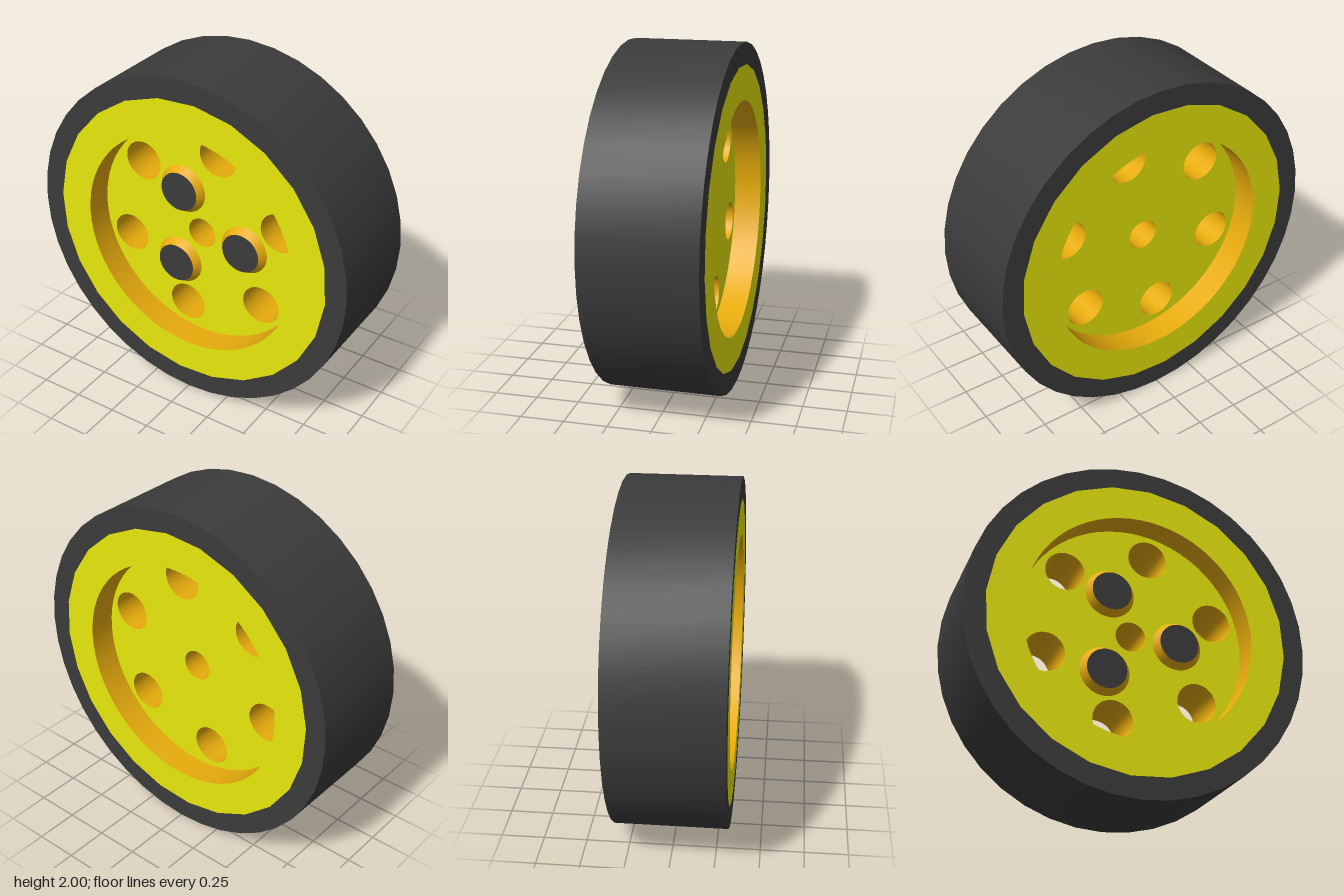
import * as THREE from 'three';
import { toCreasedNormals } from 'three/addons/utils/BufferGeometryUtils.js';

const HALF_WIDTH = 0.32, FLOOR = 0.16;
const black = new THREE.MeshStandardMaterial({ color: 0x3b3b3b });
const yellow = new THREE.MeshStandardMaterial({ color: 0xe8e80c });
const orange = new THREE.MeshStandardMaterial({ color: 0xe8ac0c });

// Points of a regular polygon
function ring(radius, sides, startDeg = 0, cx = 0, cy = 0) {
  return Array.from({ length: sides }, (_, i) => {
    const a = THREE.MathUtils.degToRad(startDeg) + (i / sides) * Math.PI * 2;
    return new THREE.Vector2(cx + radius * Math.cos(a), cy + radius * Math.sin(a));
  });
}

// Plate centred on z = 0, with holes cut through
function plate(name, outline, holes, halfDepth, materials) {
  const shape = new THREE.Shape(outline);
  holes.forEach((h) => shape.holes.push(new THREE.Path(h)));
  const geometry = new THREE.ExtrudeGeometry(shape, { depth: halfDepth * 2, bevelEnabled: false });
  geometry.translate(0, 0, -halfDepth);
  const mesh = new THREE.Mesh(toCreasedNormals(geometry, 0.5), materials);
  mesh.name = name;
  return mesh;
}

function polar(radius, deg) {
  const a = THREE.MathUtils.degToRad(deg);
  return [radius * Math.cos(a), radius * Math.sin(a)];
}

export function createModel() {
  const wheel = new THREE.Group();
  wheel.name = 'wheel';
  wheel.position.y = 1;

  // Tyre, with a faceted inner edge meeting the rim
  const seat = ring(0.878, 24, -4);
  wheel.add(plate('tyre', ring(1, 40), [seat], HALF_WIDTH, black));

  // Rim
  wheel.add(plate('rim', seat, [ring(0.675, 64)], HALF_WIDTH, [yellow, orange]));

  // Recessed web with axle hole and six round holes
  const holes = [ring(0.09, 40)];
  for (let i = 0; i < 6; i++) holes.push(ring(0.117, 40, 0, ...polar(0.526, 18.5 + i * 60)));
  wheel.add(plate('web', ring(0.68, 64), holes, FLOOR, [yellow, orange]));

  // Three tapered bosses with dark caps, front only
  const height = 0.045;
  for (let i = 0; i < 3; i++) {
    const boss = new THREE.Group();
    boss.name = `boss${i + 1}`;
    boss.position.set(...polar(0.28, -3.3 + i * 120), FLOOR);
    const taper = new THREE.Mesh(new THREE.CylinderGeometry(0.117, 0.146, height, 40, 1, true), orange);
    taper.name = 'bossTaper';
    taper.rotation.x = Math.PI / 2;
    taper.position.z = height / 2;
    const cap = new THREE.Mesh(new THREE.CircleGeometry(0.117, 40), black);
    cap.name = 'bossCap';
    cap.position.z = height;
    boss.add(taper, cap);
    wheel.add(boss);
  }

  const model = new THREE.Group();
  model.name = 'wheelModel';
  model.add(wheel);
  return model;
}
